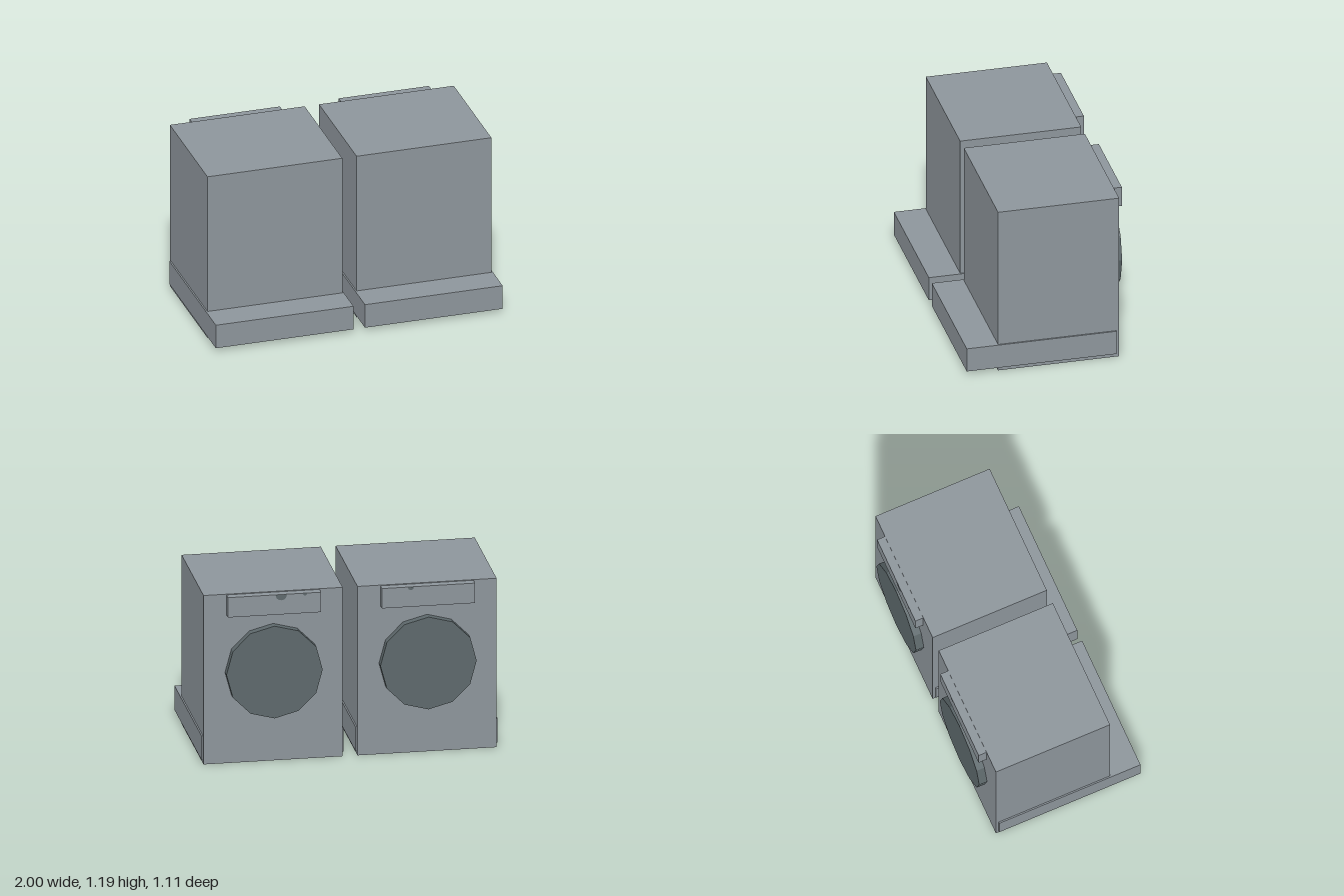
import * as THREE from 'three';

export function createModel() {
  const casing = new THREE.MeshStandardMaterial({ color: 0x8d959b });
  casing.name = 'casing grey';
  const dark = new THREE.MeshStandardMaterial({ color: 0x5d686b, flatShading: true });
  dark.name = 'dark door grey';

  const model = new THREE.Group();
  model.name = 'washingMachines';

  // Box given by its extents in y and z, centred on the machine's own x = 0
  function box(parent, name, width, y0, y1, z0, z1) {
    const mesh = new THREE.Mesh(new THREE.BoxGeometry(width, y1 - y0, z1 - z0), casing);
    mesh.position.set(0, (y0 + y1) / 2, (z0 + z1) / 2);
    mesh.name = name;
    parent.add(mesh);
  }

  function machine(name, x) {
    const g = new THREE.Group();
    g.name = name;
    g.position.x = x;
    box(g, 'body', 0.94, 0, 1.19, -0.495, 0.335);
    box(g, 'plinth', 0.96, 0.025, 0.195, -0.475, 0.552);
    box(g, 'controlPanel', 0.63, 1.045, 1.185, -0.552, -0.49);

    // Twelve-sided door, with corners straight up and straight to the sides
    const door = new THREE.Mesh(new THREE.CylinderGeometry(0.325, 0.325, 0.062, 12), dark);
    door.rotation.x = -Math.PI / 2;
    door.position.set(0, 0.64, -0.521);
    door.name = 'door';
    g.add(door);
    model.add(g);
    return g;
  }

  // Flat half-round mark hanging from the top edge of the control panel
  function mark(parent, name, x, radius) {
    const mesh = new THREE.Mesh(new THREE.CircleGeometry(radius, 10, Math.PI, Math.PI), dark);
    mesh.rotation.y = Math.PI;
    mesh.position.set(x, 1.183, -0.5535);
    mesh.name = name;
    parent.add(mesh);
  }

  const left = machine('leftMachine', 0.52);
  mark(left, 'dial', -0.045, 0.038);
  mark(left, 'button', -0.205, 0.014);

  const right = machine('rightMachine', -0.52);
  mark(right, 'button', 0.12, 0.02);

  return model;
}
